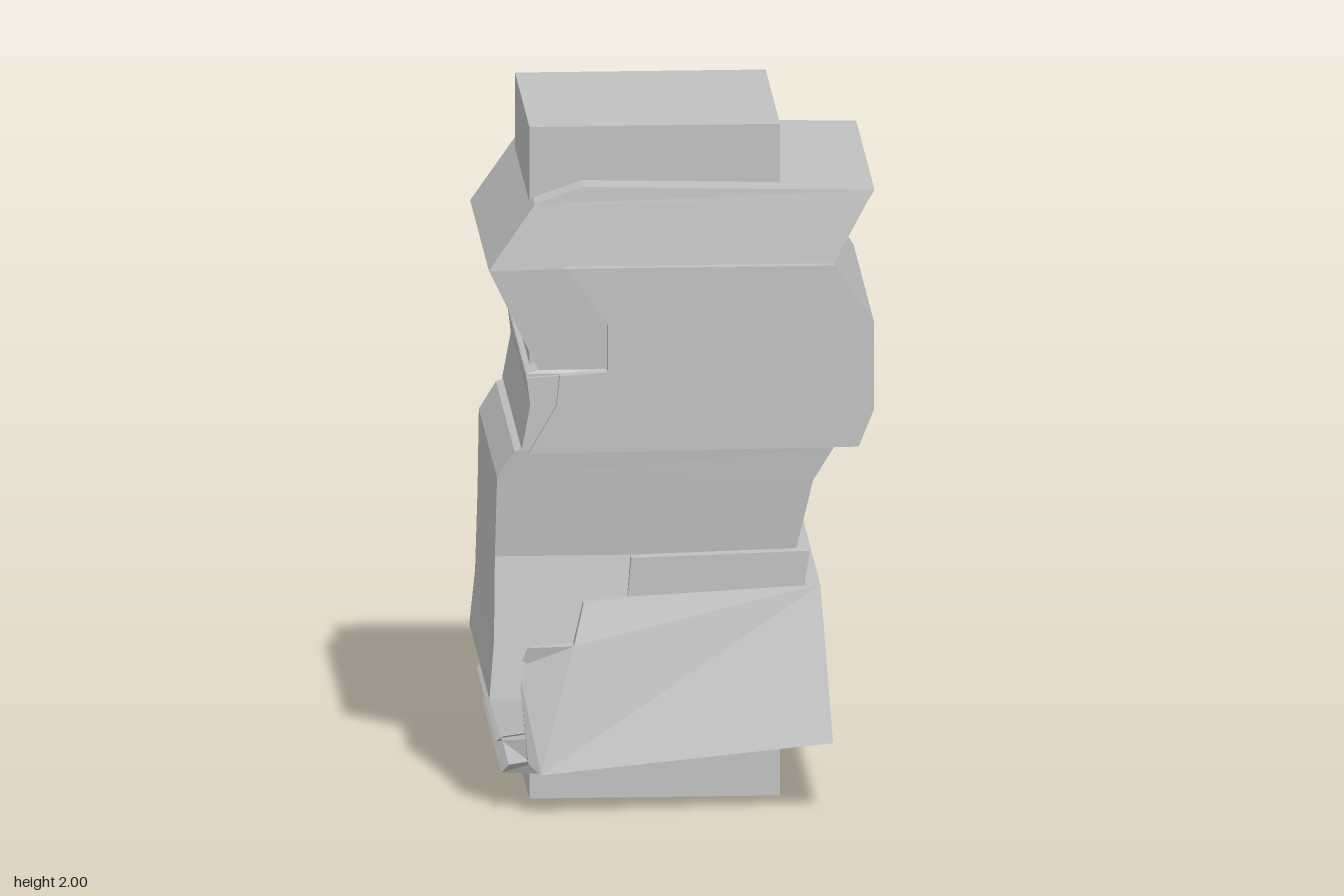
import * as THREE from 'three';

// Stacked box sections, low to high. Row: [xLeft, yLeft, xRight, yRight, zFront, zBack]
function loft(rows) {
  const rings = rows.map(([xl, yl, xr, yr, zf, zb]) => [
    [xl, yl, zf], [xr, yr, zf], [xr, yr, zb], [xl, yl, zb],
  ]);
  const pos = [];
  const quad = (a, b, c, d) => [a, b, c, a, c, d].forEach((p) => pos.push(...p));
  for (let i = 0; i < rings.length - 1; i++) {
    for (let j = 0; j < 4; j++) {
      const k = (j + 1) % 4;
      quad(rings[i][j], rings[i][k], rings[i + 1][k], rings[i + 1][j]);
    }
  }
  const [b, t] = [rings[0], rings[rings.length - 1]];
  quad(b[3], b[2], b[1], b[0]);
  quad(t[0], t[1], t[2], t[3]);
  const g = new THREE.BufferGeometry();
  g.setAttribute('position', new THREE.Float32BufferAttribute(pos, 3));
  g.computeVertexNormals();
  return g;
}

// Front outline pushed through to the back, with the depth set by a rule
function wrap(points, front, back) {
  const shape = new THREE.Shape(points.map(([x, y]) => new THREE.Vector2(x, y)));
  const g = new THREE.ExtrudeGeometry(shape, { depth: 1, bevelEnabled: false });
  const p = g.attributes.position;
  for (let i = 0; i < p.count; i++) {
    const rule = p.getZ(i) > 0.5 ? front : back;
    p.setZ(i, rule(p.getX(i), p.getY(i)));
  }
  g.computeVertexNormals();
  return g;
}

export function createModel() {
  const group = new THREE.Group();
  const grey = new THREE.MeshStandardMaterial({ color: 0xc0c0c0 });
  grey.name = 'plain grey';
  grey.flatShading = true;
  const add = (name, geometry) => {
    const mesh = new THREE.Mesh(geometry, grey);
    mesh.name = name;
    group.add(mesh);
    return mesh;
  };

  // Square post through the middle
  add('corePost', new THREE.BoxGeometry(0.73, 2, 0.73)).position.set(-0.075, 1, -0.008);

  // Inner sleeve
  add('innerSleeve', loft([
    [-0.42, 0.12, 0.30, 0.19, 0.50, -0.50],
    [-0.53, 0.21, 0.36, 0.25, 0.52, -0.52],
    [-0.565, 0.33, 0.36, 0.33, 0.51, -0.51],
    [-0.55, 0.50, 0.35, 0.50, 0.48, -0.48],
    [-0.545, 0.74, 0.33, 0.74, 0.435, -0.445],
    [-0.54, 0.98, 0.38, 0.96, 0.46, -0.465],
    [-0.49, 1.06, 0.44, 1.06, 0.47, -0.47],
    [-0.46, 1.07, 0.46, 1.07, 0.47, -0.47],
    [-0.44, 1.20, 0.46, 1.20, 0.47, -0.47],
    [-0.455, 1.29, 0.46, 1.29, 0.47, -0.47],
    [-0.42, 1.30, 0.46, 1.30, 0.465, -0.47],
    [-0.565, 1.60, 0.44, 1.61, 0.48, -0.47],
    [-0.43, 1.79, 0.54, 1.79, 0.455, -0.48],
    [-0.29, 1.84, 0.56, 1.82, 0.45, -0.48],
  ]));

  // Upper band, wrapped round front, back and one side
  add('upperBand', wrap([
    [-0.34, 1.61], [-0.22, 1.44], [-0.22, 1.30], [-0.36, 1.29], [-0.37, 1.20],
    [-0.45, 1.06], [0.51, 1.07], [0.555, 1.18], [0.555, 1.44], [0.44, 1.61],
  ], () => 0.51, (x, y) => (y < 1.25 ? -0.55 : -0.535)));
  add('upperBandEnd', loft([
    [-0.47, 1.065, -0.3, 1.065, 0.485, -0.50],
    [-0.445, 1.20, -0.3, 1.20, 0.485, -0.50],
    [-0.455, 1.28, -0.3, 1.29, 0.485, -0.50],
  ]));

  // Narrow ledge above the skirt
  add('lowerLedge', wrap([
    [-0.165, 0.58], [0.355, 0.62], [0.355, 0.66], [0.37, 0.755], [-0.15, 0.74],
  ], () => 0.48, () => -0.50));

  // Flared skirt with a stepped upper edge, tapered at its open end
  const taper = (x) => Math.max(0, -0.42 - x) * 1.1;
  const flare = (y) => Math.min(1, Math.max(0, (0.655 - y) / 0.44));
  add('skirt', wrap([
    [0.40, 0.655], [-0.16, 0.625], [-0.29, 0.61], [-0.32, 0.49], [-0.45, 0.48],
    [-0.48, 0.42], [-0.455, 0.15], [-0.42, 0.125], [0.43, 0.21],
  ], (x, y) => 0.483 + 0.127 * flare(y) - taper(x),
  (x, y) => -0.50 - 0.105 * flare(y) + taper(x)));
  add('skirtUnderside', loft([
    [-0.38, 0.10, 0.30, 0.155, 0.38, -0.39],
    [-0.42, 0.125, 0.43, 0.21, 0.61, -0.605],
  ]));

  // Ragged ridges along the foot of the open side
  [[-0.53, 0.11, 0.03], [-0.545, 0.205, 0.02]].forEach(([x, y, h]) => {
    add('footRidge', loft([
      [x, y, -0.38, y - 0.005, 0.50, -0.48],
      [x + 0.02, y + h, -0.38, y + h + 0.02, 0.53, -0.53],
    ]));
  });

  return group;
}
